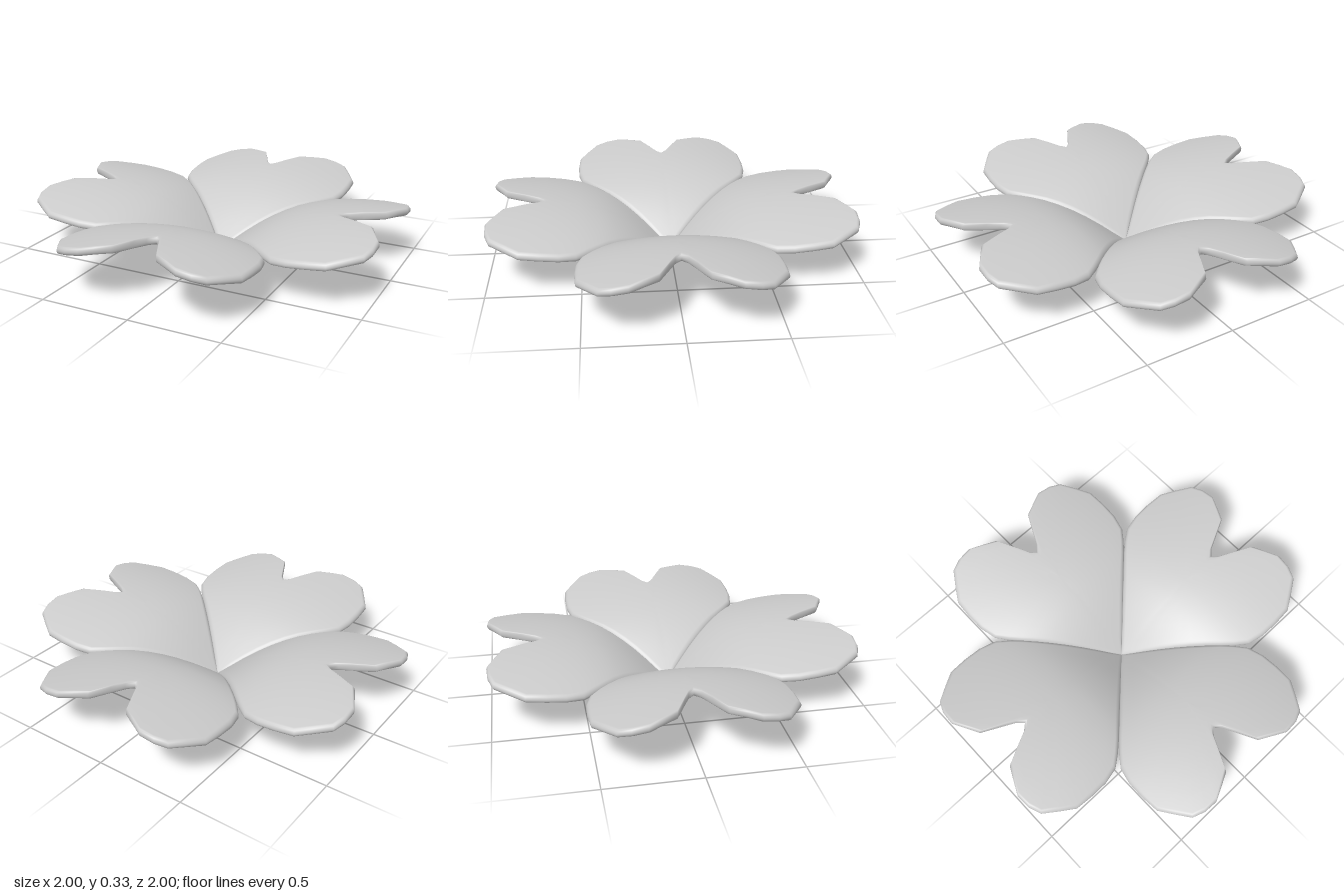
import * as THREE from 'three';
import { mergeVertices } from 'three/addons/utils/BufferGeometryUtils.js';

const HUB = new THREE.Vector2(0, 0.5); // point inside the petal from which the rings spread
const RIM = 0.022; // radius of the rounded rim

// Half outline of the heart-shaped petal (x, z), from the flower centre to the notch
const HALF = [
  [0, 0], [0.05, 0.05], [0.1, 0.1], [0.16, 0.16], [0.22, 0.22], [0.28, 0.28], [0.34, 0.34], [0.4, 0.4],
  [0.45, 0.455], [0.5, 0.52], [0.522, 0.61], [0.525, 0.71], [0.518, 0.815], [0.47, 0.89], [0.415, 0.97],
  [0.35, 0.995], [0.27, 1], [0.2, 0.965], [0.125, 0.927], [0.07, 0.82], [0.035, 0.75], [0, 0.713],
];

// Height of the petal's middle layer: a bowl that flattens outward and arches across
function height(x, z) {
  return 0.005 + 0.32 * (1 - Math.exp(-Math.pow(Math.max(z, 0) / 0.3, 1.2))) - 0.28 * x * x;
}

function petalGeometry() {
  const mirrored = HALF.slice(1, -1).reverse().map(([x, z]) => [-x, z]);
  const outline = [...HALF, ...mirrored].map(([x, z]) => new THREE.Vector2(x, z));
  const n = outline.length;

  // Rings over the top, round the rim and back under the petal
  const top = [];
  for (let k = 0; k <= 7; k++) top.push({ f: k / 7, inset: RIM, side: 1 });
  for (const a of [0.75, 0.5, 0.25]) {
    const s = Math.sin(a * Math.PI / 2);
    top.push({ f: 1, inset: RIM * (1 - Math.sqrt(1 - s * s)), side: s });
  }
  const bottom = top.map((r) => ({ ...r, side: -r.side })).reverse();
  const rings = [...top, { f: 1, inset: 0, side: 0 }, ...bottom];

  const positions = [];
  const index = [];
  rings.forEach(({ f, inset, side }, j) => {
    outline.forEach((p, i) => {
      const d = p.clone().sub(HUB);
      d.setLength((d.length() - inset) * f).add(HUB);
      const half = RIM * Math.min(1, 0.3 + 2 * d.y); // thinner towards the flower centre
      positions.push(d.x, height(d.x, d.y) + side * half, d.y);
      if (j === rings.length - 1) return;
      const a = j * n + i;
      const b = j * n + (i + 1) % n;
      if (j > 0) index.push(a, b, b + n);
      if (j < rings.length - 2) index.push(a, b + n, a + n);
      else index.push(a, b + n, a + n);
    });
  });
  // Close the hub fan on top
  for (let i = 0; i < n; i++) index.push(0, n + (i + 1) % n, n + i);

  const geometry = new THREE.BufferGeometry();
  geometry.setAttribute('position', new THREE.Float32BufferAttribute(positions, 3));
  geometry.setIndex(index);
  const welded = mergeVertices(geometry, 1e-5);
  welded.computeVertexNormals();
  return welded;
}

export function createModel() {
  const flower = new THREE.Group();
  flower.name = 'flower';
  const material = new THREE.MeshStandardMaterial({ color: 0xcccccc, side: THREE.DoubleSide });
  const geometry = petalGeometry();
  // Four equal petals around the centre
  ['frontPetal', 'leftPetal', 'backPetal', 'rightPetal'].forEach((name, i) => {
    const petal = new THREE.Mesh(geometry, material);
    petal.name = name;
    petal.rotation.y = i * Math.PI / 2;
    flower.add(petal);
  });
  return flower;
}
